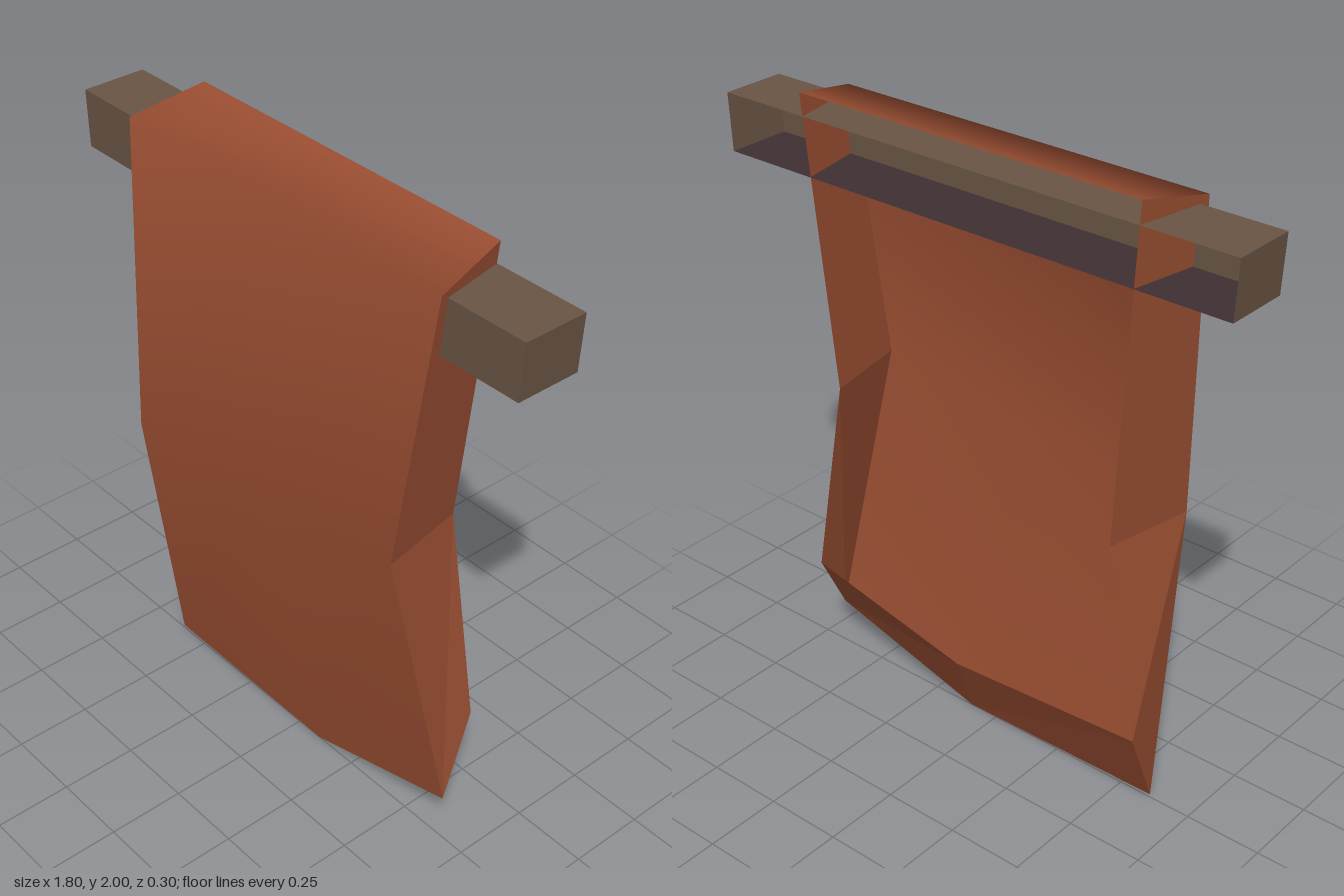
import * as THREE from 'three';

const paint = (name, color) => {
  const m = new THREE.MeshStandardMaterial({ color, side: THREE.DoubleSide });
  m.name = name;
  return m;
};

// Surface through rows of points: rows run downwards, columns run to the right
function sheet(name, rows, material, smooth = false) {
  const cols = rows[0].length, index = [];
  for (let r = 0; r < rows.length - 1; r++) {
    for (let c = 0; c < cols - 1; c++) {
      const a = r * cols + c, b = a + 1, d = a + cols, e = d + 1;
      index.push(a, d, b, b, d, e);
    }
  }
  let geo = new THREE.BufferGeometry();
  geo.setAttribute('position', new THREE.Float32BufferAttribute(rows.flat(2), 3));
  geo.setIndex(index);
  if (!smooth) geo = geo.toNonIndexed();
  geo.computeVertexNormals();
  const mesh = new THREE.Mesh(geo, material);
  mesh.name = name;
  return mesh;
}

export function createModel() {
  const cloth = paint('rust cloth', 0x9a4e32);
  const wood = paint('brown wood', 0x6a5544);
  const darkWood = paint('dark wood', 0x403033);

  const model = new THREE.Group();
  model.name = 'hangingBanner';

  // Cloth outline: the draped face, and the rear edges of its folds
  const top = [[-0.6, 2, -0.15], [0, 2, -0.15], [0.6, 2, -0.15]];
  const shoulder = [[-0.64, 1.95, 0.09], [0, 1.95, 0.09], [0.64, 1.95, 0.09]];
  const waist = [[-0.585, 0.94, 0.15], [0, 1.01, 0.15], [0.555, 1.08, 0.15]];
  const hem = [[-0.61, 0.01, 0], [0.1, 0, 0], [0.66, 0.16, 0]];
  const waistBack = [[-0.53, 0.94, -0.14], [0.5, 1.08, -0.14]];
  const hemBack = [[-0.635, 0.31, -0.14], [0.04, 0.27, -0.14], [0.62, 0.4, -0.14]];

  const banner = new THREE.Group();
  banner.name = 'clothBanner';
  banner.add(
    sheet('drapedFace', [top, shoulder, waist, hem], cloth, true),
    sheet('rightFold', [[top[0], shoulder[0]], [waistBack[0], waist[0]], [hemBack[0], hem[0]]], cloth),
    sheet('leftFold', [[shoulder[2], top[2]], [waist[2], waistBack[1]], [hem[2], hemBack[2]]], cloth),
    sheet('hemFold', [hem, hemBack], cloth),
  );

  // Crossbar: a trough with an open rear, tapering slightly downwards
  const edge = (x, y, z) => [[-x, y, z], [x, y, z]];
  const topBack = edge(0.9, 1.93, -0.15), topFront = edge(0.9, 1.93, 0.06);
  const lowFront = edge(0.89, 1.75, 0.06), lowBack = edge(0.89, 1.75, -0.15);
  const bar = new THREE.Group();
  bar.name = 'crossbar';
  bar.add(
    sheet('barTopAndFront', [topBack, topFront, lowFront], wood),
    sheet('barUnderside', [lowFront, lowBack], darkWood),
    sheet('barRightEnd', [[topBack[0], topFront[0]], [lowBack[0], lowFront[0]]], wood),
    sheet('barLeftEnd', [[topFront[1], topBack[1]], [lowFront[1], lowBack[1]]], wood),
  );

  model.add(banner, bar);
  return model;
}
